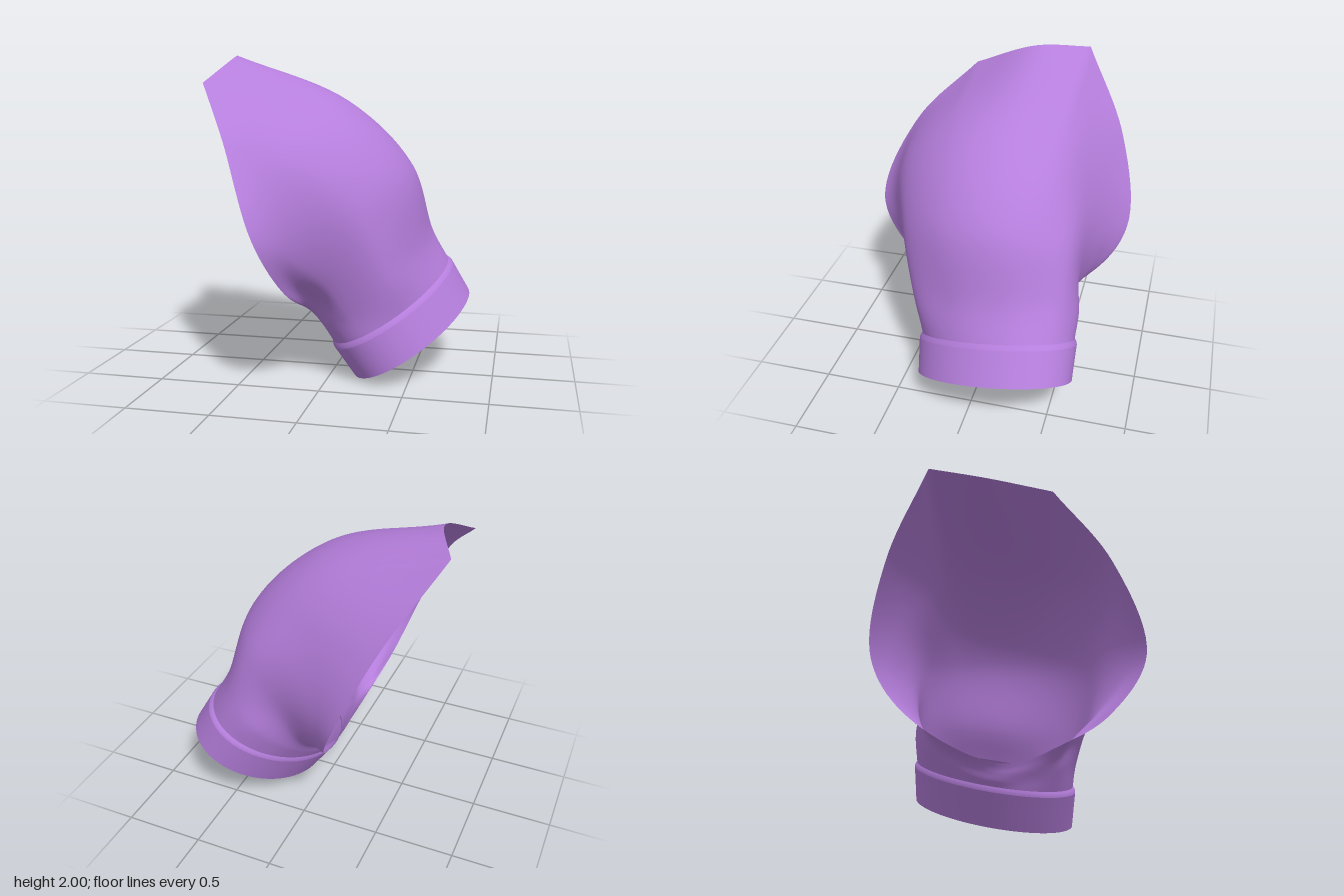
import * as THREE from 'three';

const v = (x, y, z) => new THREE.Vector3(x, y, z);
const STEP = 10; // samples between neighbouring guide lines

// Oval collar: centre, half axes and tube axis
const CENTRE = v(0.475, 0.235, -0.14);
const HALF_A = v(0.348, 0.2, 0);
const HALF_B = v(0.07, 0.12, -0.51);
const AXIS = v(-0.125, 0.195, 0.012);

// Guide lines around the duct: collar angle, three points along the body, point on the mouth
const GUIDES = [
  [0,   [0.59, 0.83, -0.1],    [0.465, 1.3, -0.08],   [0.05, 1.71, -0.08],  [-0.695, 1.995, -0.12]],
  [25,  [0.58, 0.86, -0.33],   [0.42, 1.27, -0.36],   [0, 1.64, -0.41],     [-0.83, 1.97, -0.45]],
  [58,  [0.48, 0.83, -0.56],   [0.28, 1.17, -0.57],   [-0.1, 1.4, -0.6],    [-0.56, 1.5, -0.73]],
  [95,  [0.29, 0.69, -0.635],  [0.1, 0.83, -0.6],     [-0.16, 0.92, -0.71], [-0.33, 0.97, -0.83]],
  [135, [0.085, 0.47, -0.49],  [0.01, 0.55, -0.49],   [-0.1, 0.6, -0.54],   [-0.2, 0.64, -0.62]],
  [180, [-0.035, 0.275, -0.1], [-0.055, 0.31, -0.08], [-0.07, 0.34, -0.06], [-0.085, 0.365, -0.05]],
  [222, [-0.01, 0.31, 0.245],  [-0.06, 0.38, 0.255],  [-0.1, 0.43, 0.28],   [-0.13, 0.47, 0.33]],
  [246, [0.044, 0.395, 0.348], [-0.03, 0.51, 0.37],   [-0.12, 0.57, 0.45],  [-0.19, 0.62, 0.6]],
  [268, [0.165, 0.44, 0.4],    [0.04, 0.64, 0.48],    [-0.14, 0.84, 0.66],  [-0.3, 0.96, 0.83]],
  [302, [0.39, 0.66, 0.385],   [0.2, 1.07, 0.51],     [-0.12, 1.34, 0.61],  [-0.52, 1.48, 0.64]],
  [335, [0.54, 0.77, 0.125],   [0.4, 1.25, 0.22],     [0, 1.63, 0.27],      [-0.77, 1.82, 0.29]],
];
const N = GUIDES.length;

// Oval ring at a given height along the collar, scaled about the axis
function ovalRing(height, scale) {
  const ring = [];
  for (let i = 0; i < N * STEP; i++) {
    const k = Math.floor(i / STEP), f = (i % STEP) / STEP;
    const from = GUIDES[k][0], to = k + 1 < N ? GUIDES[k + 1][0] : 360;
    const a = THREE.MathUtils.degToRad(from + (to - from) * f);
    ring.push(CENTRE.clone().addScaledVector(AXIS, height)
      .addScaledVector(HALF_A, Math.cos(a) * scale)
      .addScaledVector(HALF_B, Math.sin(a) * scale));
  }
  return ring;
}

// Smooth closed ring through one column of guide points
function guideRing(column) {
  const curve = new THREE.CatmullRomCurve3(GUIDES.map(g => v(...g[column])), true);
  return curve.getPoints(N * STEP).slice(0, -1);
}

// Mouth outline: a long curve and a short top curve meeting at two sharp corners
function mouthRing() {
  const p = GUIDES.map(g => v(...g[4]));
  const long = new THREE.CatmullRomCurve3(p.slice(1)).getPoints((N - 2) * STEP);
  const top = new THREE.CatmullRomCurve3([p[N - 1], p[0], p[1]]).getPoints(2 * STEP);
  return [...top.slice(STEP, 2 * STEP), ...long, ...top.slice(1, STEP)];
}

// Skin a list of closed rings
function skin(rings) {
  const n = rings[0].length, index = [];
  for (let i = 0; i < rings.length - 1; i++) {
    for (let j = 0; j < n; j++) {
      const a = i * n + j, b = i * n + (j + 1) % n;
      index.push(a, b, a + n, b, b + n, a + n);
    }
  }
  const geo = new THREE.BufferGeometry().setFromPoints(rings.flat());
  geo.setIndex(index);
  geo.computeVertexNormals();
  return geo;
}

export function createModel() {
  const group = new THREE.Group();
  group.name = 'duct';
  const material = new THREE.MeshStandardMaterial({ color: 0xb57edc, side: THREE.DoubleSide });
  const add = (name, rings) => {
    const mesh = new THREE.Mesh(skin(rings), material);
    mesh.name = name;
    group.add(mesh);
  };

  // Straight collar band, and the soft shoulder that steps in to the neck
  add('collar', [ovalRing(0, 1), ovalRing(0.5, 1.012), ovalRing(0.96, 1.024)]);
  add('collarShoulder', [[0.96, 1.024], [1.01, 1.018], [1.06, 1.005], [1.1, 0.992]]
    .map(([h, s]) => ovalRing(h, s)));

  // Body sweeping from the oval neck to the wide flared mouth
  const sections = [ovalRing(1.1, 0.992), guideRing(1), guideRing(2), guideRing(3), mouthRing()];
  const lines = sections[0].map((_, j) =>
    new THREE.CatmullRomCurve3(sections.map(s => s[j])).getPoints(40));
  add('body', lines[0].map((_, i) => lines.map(line => line[i])));

  return group;
}
